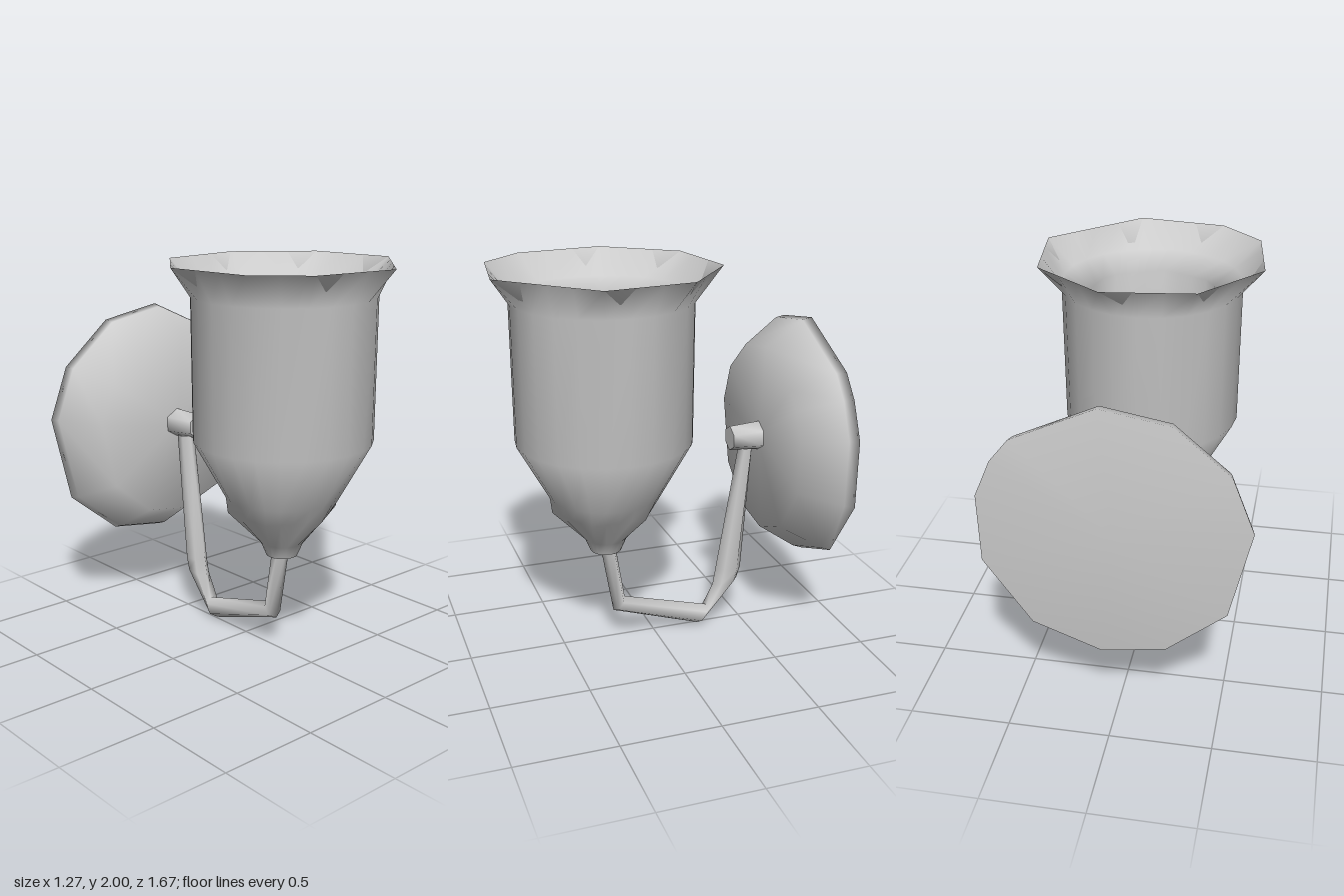
import * as THREE from 'three';

const V = (x, y, z) => new THREE.Vector3(x, y, z);
const rad = THREE.MathUtils.degToRad;
const evenAngles = (n, start = 0) => Array.from({ length: n }, (_, i) => start + (i * 360) / n);

// Skin through closed rings of equal length; a ring repeated twice makes a hard edge
function loft(name, rings) {
  const n = rings[0].length;
  const index = [];
  for (let i = 0; i < rings.length - 1; i++) {
    for (let j = 0; j < n; j++) {
      const a = i * n + j, b = i * n + ((j + 1) % n), c = a + n, d = b + n;
      index.push(a, c, b, b, c, d);
    }
  }
  const geometry = new THREE.BufferGeometry().setFromPoints(rings.flat());
  geometry.setIndex(index);
  geometry.computeVertexNormals();
  const material = new THREE.MeshStandardMaterial({ color: 0xcccccc, side: THREE.DoubleSide });
  const mesh = new THREE.Mesh(geometry, material);
  mesh.name = name;
  return mesh;
}

// Ring around the upright axis of the shade; the radius may depend on the angle
const uprightRing = (angles, r, y) => angles.map((d) => {
  const radius = typeof r === 'function' ? r(d) : r;
  return V(0.01 + radius * Math.cos(rad(d)), y, 0.265 + radius * Math.sin(rad(d)));
});

// Ring facing the front, used by the wall plate and the knuckle
const facingRing = (angles, r, x, y, z) =>
  angles.map((d) => V(x + r * Math.cos(rad(d)), y + r * Math.sin(rad(d)), z));

// Distance from the centre to the edge of a polygon with corners at the given angles
function polygonRadius(corners, r) {
  return (d) => {
    const t = d < corners[0] ? d + 360 : d;
    const i = corners.findLastIndex((c) => c <= t);
    const a = corners[i];
    const b = i + 1 < corners.length ? corners[i + 1] : corners[0] + 360;
    return (r * Math.cos(rad((b - a) / 2))) / Math.cos(rad(t - (a + b) / 2));
  };
}

function makeShade() {
  const rim = polygonRadius([15, 75, 120, 150, 195, 240, 285, 330], 0.59);
  const hexagon = polygonRadius(evenAngles(6, 30), 0.28);
  const throat = polygonRadius(evenAngles(7, 38), 0.355);
  const profile = [
    // outside, from the foot to the flared rim
    [0, 0.52], [0.08, 0.52], [0.08, 0.52], [0.11, 0.59], [hexagon, 0.76], [0.29, 0.84],
    [0.45, 1.13], [0.455, 1.84], [rim, 2], [rim, 2],
    // inside, a shallow funnel into a narrower throat
    [0.45, 1.87], [throat, 1.79], [0.345, 1.13], [0.28, 0.85], [0, 0.6],
  ];
  return loft('shade', profile.map(([r, y]) => uprightRing(evenAngles(24), r, y)));
}

function makeBulb() {
  const profile = [[0, 0.8], [0.275, 0.85], [0.28, 1.1], [0.2, 1.27], [0, 1.35]];
  return loft('bulb', profile.map(([r, y]) => uprightRing(evenAngles(6, 30), r, y)));
}

function makeArm() {
  // each bend: outer z, y and inner z, y
  const bends = [
    [0.295, 0.54, 0.215, 0.54],
    [0.228, 0.155, 0.165, 0.228],
    [-0.25, 0, -0.31, 0.1],
    [-0.48, 0.24, -0.34, 0.22],
    [-0.5, 0.3, -0.355, 0.31],
    [-0.55, 1.0, -0.47, 1.0],
  ];
  const rings = bends.map(([oz, oy, iz, iy]) => evenAngles(6).map((d) => {
    const c = Math.cos(rad(d)) / 2;
    return V(0.01 + 0.048 * Math.sin(rad(d)), (oy + iy) / 2 + (oy - iy) * c, (oz + iz) / 2 + (oz - iz) * c);
  }));
  return loft('arm', rings);
}

function makeKnuckle() {
  const angles = evenAngles(6, 30);
  const front = facingRing(angles, 0.066, 0.025, 1.06, -0.415);
  const back = facingRing(angles, 0.078, 0.01, 1.055, -0.585);
  return loft('knuckle', [
    facingRing(angles, 0, 0.025, 1.06, -0.415), front, front, back, back,
    facingRing(angles, 0, 0.01, 1.055, -0.585),
  ]);
}

function makeWallPlate() {
  const angles = [14, 32, 45, 85, 115, 146, 172, 214, 247, 275, 307, 343];
  return loft('wallPlate', [
    facingRing(angles, 0, 0.01, 1.045, -0.585),
    facingRing(angles, 0.5, 0.01, 1.045, -0.59),
    facingRing(angles, 0.635, 0.005, 1.04, -0.79),
    facingRing(angles, 0.65, 0.005, 1.035, -0.84),
    facingRing(angles, 0, 0, 1.04, -0.84),
  ]);
}

export function createModel() {
  const lamp = new THREE.Group();
  lamp.name = 'wallLamp';
  lamp.add(makeShade(), makeBulb(), makeArm(), makeKnuckle(), makeWallPlate());
  return lamp;
}
